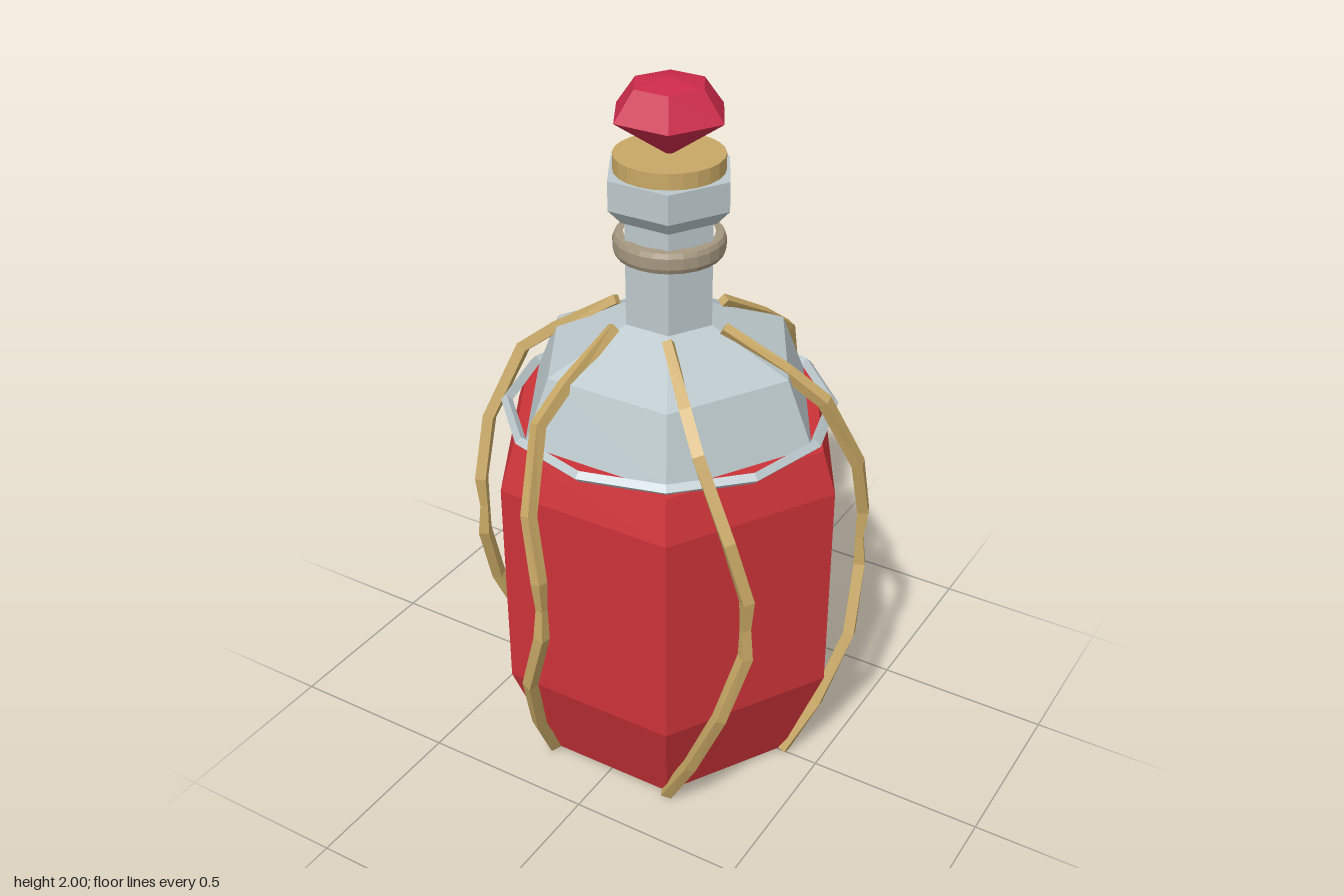
import * as THREE from 'three';

const material = (color) => new THREE.MeshStandardMaterial({ color, flatShading: true });
const red = material(0xcc3338);
const crimson = material(0xcc2a4a);
const gold = material(0xc8a865);
const glass = material(0xbcc8cc);
const brown = material(0xa59780);

function add(parent, name, geometry, mat) {
  const mesh = new THREE.Mesh(geometry, mat);
  mesh.name = name;
  parent.add(mesh);
  return mesh;
}

// Profile of [radius, y] points, bottom to top, turned with a corner on +x
function turned(points, sides = 6) {
  return new THREE.LatheGeometry(points.map(([r, y]) => new THREE.Vector2(r, y)), sides, Math.PI / 2);
}

// Square bar swept along a path of { p, out, size }, capped at both ends
function sweptBar(path) {
  const pos = [], index = [];
  path.forEach(({ p, out, size }, i) => {
    const prev = path[Math.max(i - 1, 0)].p;
    const next = path[Math.min(i + 1, path.length - 1)].p;
    const dir = next.clone().sub(prev).normalize();
    const side = dir.clone().cross(out).normalize();
    const normal = side.clone().cross(dir);
    for (let k = 0; k < 4; k++) {
      const a = Math.PI / 4 + (k * Math.PI) / 2;
      const v = p.clone()
        .addScaledVector(normal, size * Math.cos(a))
        .addScaledVector(side, size * Math.sin(a));
      pos.push(v.x, v.y, v.z);
      if (i < path.length - 1) {
        const q = i * 4 + k, r = i * 4 + ((k + 1) % 4);
        index.push(q, r, q + 4, r, r + 4, q + 4);
      }
    }
  });
  const e = (path.length - 1) * 4;
  index.push(0, 2, 1, 0, 3, 2, e, e + 1, e + 2, e, e + 2, e + 3);
  const g = new THREE.BufferGeometry();
  g.setAttribute('position', new THREE.Float32BufferAttribute(pos, 3));
  g.setIndex(index);
  g.computeVertexNormals();
  return g;
}

export function createModel() {
  const bottle = new THREE.Group();
  bottle.name = 'bottle';

  // Hexagonal red body
  add(bottle, 'body', turned([[0, 0.02], [0.39, 0.02], [0.51, 0.33], [0.51, 0.95], [0.47, 1.07], [0, 1.07]]), red);

  // Shoulder, neck and flared lip
  add(bottle, 'shoulder', turned([[0.435, 1.07], [0.36, 1.25], [0.13, 1.35]]), glass);
  add(bottle, 'neck', turned([[0.13, 1.33], [0.13, 1.64], [0.14, 1.64], [0.177, 1.68], [0.177, 1.76], [0, 1.76]]), glass);

  // Band around the neck
  add(bottle, 'neckBand', turned([[0.12, 1.53], [0.142, 1.532], [0.148, 1.545], [0.148, 1.575], [0.142, 1.588], [0.12, 1.59]], 24), brown);

  // Loose twelve-sided hoop around the shoulder
  const hoop = add(bottle, 'hoop', new THREE.TorusGeometry(0.445, 0.016, 4, 12), glass);
  hoop.rotation.x = Math.PI / 2;
  hoop.position.y = 1.082;

  // Stopper with its cut gem
  add(bottle, 'stopper', turned([[0, 1.76], [0.145, 1.76], [0.145, 1.803], [0, 1.803]], 24), gold);
  add(bottle, 'gem', turned([[0, 1.795], [0.157, 1.905], [0.1, 1.983], [0, 2]]), crimson);

  // Six swirling strands: [y, radius, swing in degrees, half size]
  const strand = [
    [1.35, 0.165, 0, 0.018], [1.245, 0.335, 8, 0.022], [1.17, 0.435, 10.5, 0.022],
    [0.96, 0.525, 17.5, 0.022], [0.78, 0.545, 22.5, 0.022], [0.69, 0.54, 22.5, 0.016],
    [0.6, 0.545, 22.5, 0.022], [0.4, 0.535, 15.5, 0.022], [0.18, 0.465, 8, 0.022], [0.015, 0.39, 0, 0.022],
  ];
  const cage = new THREE.Group();
  cage.name = 'strands';
  bottle.add(cage);
  for (let i = 0; i < 6; i++) {
    const path = strand.map(([y, r, swing, size]) => {
      const a = THREE.MathUtils.degToRad(i * 60 - swing);
      const out = new THREE.Vector3(Math.cos(a), 0, Math.sin(a));
      return { p: out.clone().multiplyScalar(r).setY(y), out, size };
    });
    add(cage, 'strand', sweptBar(path), gold);
  }
  return bottle;
}
